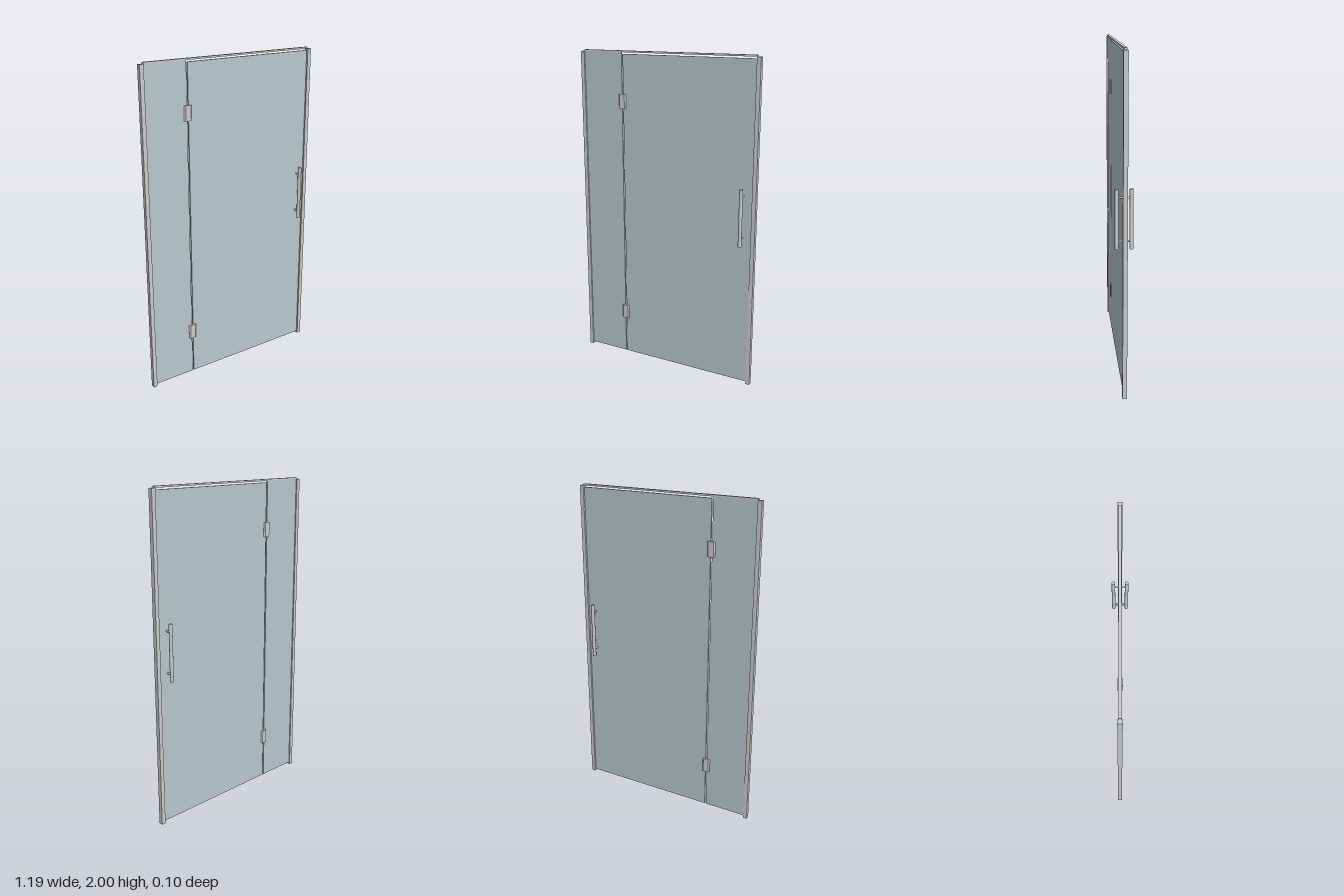
import * as THREE from 'three';

export function createModel() {
  const group = new THREE.Group();
  const metal = new THREE.MeshStandardMaterial({ color: 0xcccccc });
  const glass = new THREE.MeshStandardMaterial({ color: 0xb8c8cc });

  const add = (name, geometry, material, x, y, z) => {
    const mesh = new THREE.Mesh(geometry, material);
    mesh.name = name;
    mesh.position.set(x, y, z);
    group.add(mesh);
    return mesh;
  };
  // Box given by its limits in x and y and its depth, centred on z = 0
  const slab = (name, material, x0, x1, y0, y1, depth) =>
    add(name, new THREE.BoxGeometry(x1 - x0, y1 - y0, depth), material, (x0 + x1) / 2, (y0 + y1) / 2, 0);

  // Wall channels and header rail
  slab('rightWallChannel', metal, -0.597, -0.572, 0, 1.99, 0.026);
  slab('leftWallChannel', metal, 0.572, 0.597, 0, 1.99, 0.026);
  slab('headerRail', metal, -0.572, 0.572, 1.99, 2, 0.017);

  // Fixed pane and swinging door
  slab('fixedGlassPane', glass, -0.572, -0.305, 0.013, 1.99, 0.011);
  slab('glassDoor', glass, -0.296, 0.569, 0.013, 1.98, 0.011);

  // Hinges: chamfered blocks clamped round both panes
  const w = 0.025, d = 0.014, c = 0.008, height = 0.09;
  const outline = new THREE.Shape([
    [-w, -d + c], [-w + c, -d], [w - c, -d], [w, -d + c],
    [w, d - c], [w - c, d], [-w + c, d], [-w, d - c],
  ].map(([x, y]) => new THREE.Vector2(x, y)));
  const hingeGeometry = new THREE.ExtrudeGeometry(outline, { depth: height, bevelEnabled: false });
  hingeGeometry.translate(0, 0, -height / 2).rotateX(-Math.PI / 2);
  for (const [name, y] of [['lowerHinge', 0.3], ['upperHinge', 1.695]]) {
    add(name, hingeGeometry, metal, -0.301, y, 0);
  }

  // Pull handles on both faces of the door, each with two standoffs
  const handleX = 0.516, reach = 0.041;
  const barGeometry = new THREE.CylinderGeometry(0.011, 0.011, 0.345, 20);
  const standoffGeometry = new THREE.CylinderGeometry(0.006, 0.006, reach, 16).rotateX(Math.PI / 2);
  for (const [side, sign] of [['front', 1], ['back', -1]]) {
    add(side + 'HandleBar', barGeometry, metal, handleX, 1.073, sign * reach);
    for (const y of [0.948, 1.198]) {
      add(side + 'HandleStandoff', standoffGeometry, metal, handleX, y, sign * reach / 2);
    }
  }
  return group;
}
